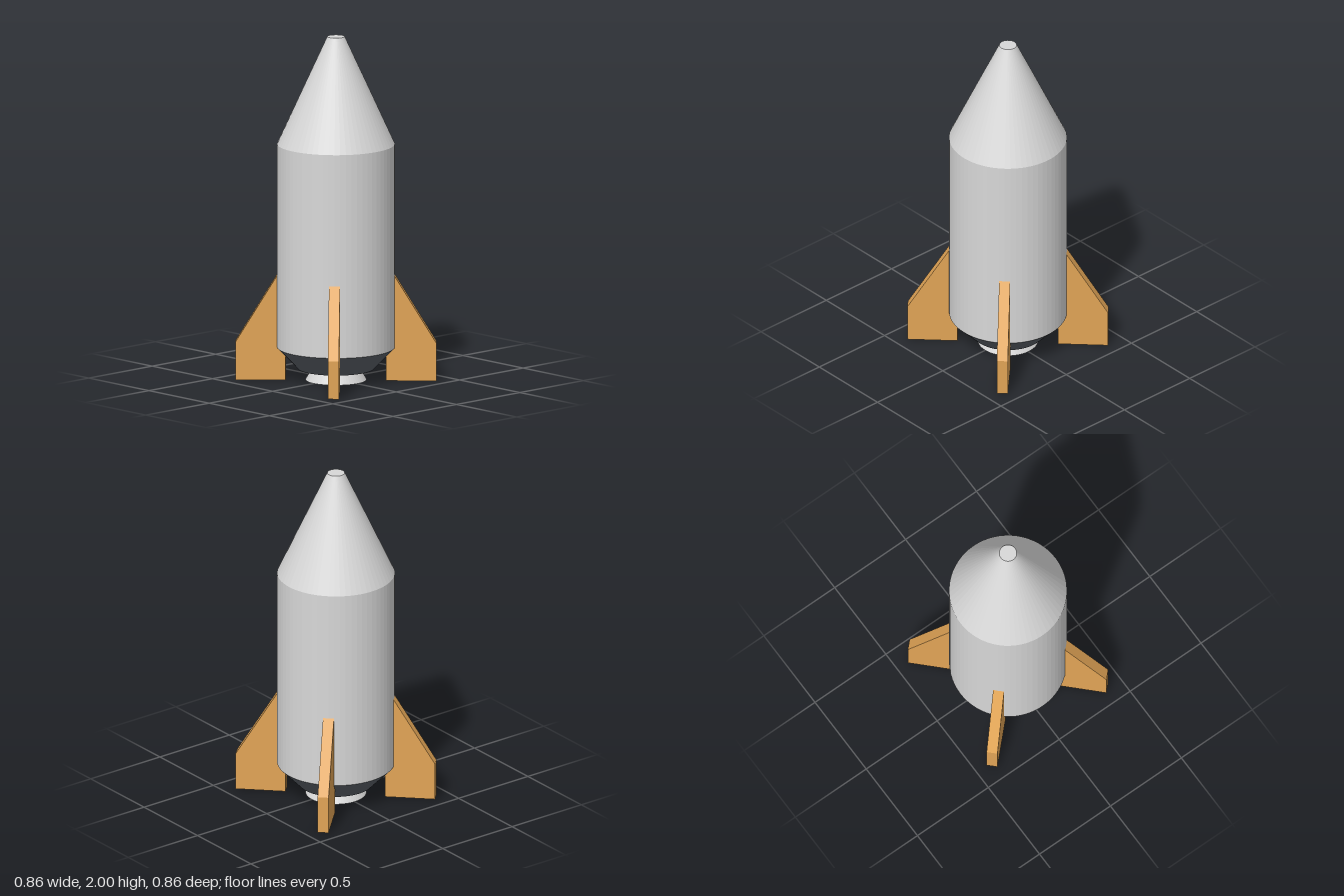
import * as THREE from 'three';

export function createModel() {
  const flat = (name, color) => {
    const m = new THREE.MeshStandardMaterial({ color, flatShading: true });
    m.name = name;
    return m;
  };
  const hullGrey = flat('hull grey', 0xd8d8d8);
  const slate = flat('slate', 0x5d646b);
  const orange = flat('fin orange', 0xe2a556);

  const rocket = new THREE.Group();
  rocket.name = 'rocket';

  const add = (name, geometry, material, parent = rocket) => {
    const mesh = new THREE.Mesh(geometry, material);
    mesh.name = name;
    parent.add(mesh);
    return mesh;
  };

  // Round sections stacked along y: name, bottom y, top y, bottom radius, top radius
  const sections = [
    ['engineNozzle', 0, 0.07, 0.175, 0.135, hullGrey],
    ['tailTaper', 0.065, 0.19, 0.216, 0.337, slate],
    ['body', 0.19, 1.375, 0.337, 0.337, hullGrey],
    ['noseCone', 1.375, 2, 0.337, 0.05, hullGrey],
  ];
  for (const [name, y0, y1, r0, r1, material] of sections) {
    const geometry = new THREE.CylinderGeometry(r1, r0, y1 - y0, 64);
    add(name, geometry, material).position.y = (y0 + y1) / 2;
  }

  // Fin outline: distance from the axis, height
  const thickness = 0.063;
  const outline = [[0.287, 0], [0.575, 0], [0.575, 0.22], [0.336, 0.61], [0.287, 0.61]];
  const finShape = new THREE.Shape(outline.map(([r, y]) => new THREE.Vector2(r, y)));
  const finGeometry = new THREE.ExtrudeGeometry(finShape, { depth: thickness, bevelEnabled: false });
  finGeometry.translate(0, 0, -thickness / 2);

  // Four fins on the diagonals
  const fins = new THREE.Group();
  fins.name = 'fins';
  rocket.add(fins);
  for (let i = 0; i < 4; i++) {
    add('fin' + (i + 1), finGeometry, orange, fins).rotation.y = Math.PI / 4 + (i * Math.PI) / 2;
  }

  return rocket;
}
